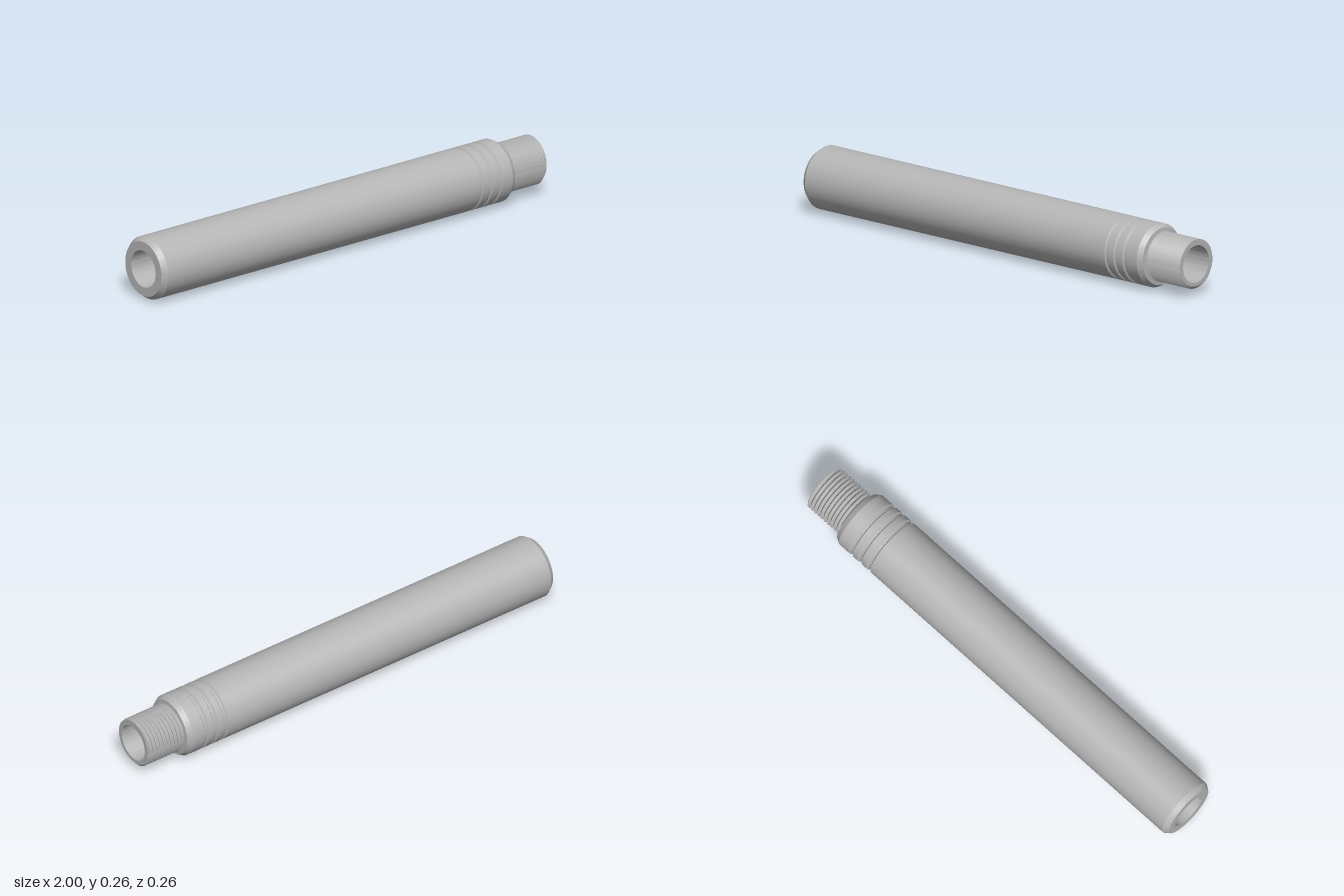
import * as THREE from 'three';
import { toCreasedNormals } from 'three/addons/utils/BufferGeometryUtils.js';

const SEGMENTS = 72;
const R = 0.13;          // body radius
const BORE = 0.077;      // through-hole radius
const SHOULDER = 0.82;   // where the body ends and the thread starts
const v = (r, x) => new THREE.Vector2(r, x);

// Lay a lathe along the x axis and keep its edges sharp
function finish(geometry, material, name) {
  const mesh = new THREE.Mesh(toCreasedNormals(geometry, 0.4), material);
  geometry.rotateZ(0);
  mesh.geometry.rotateZ(-Math.PI / 2);
  mesh.position.y = R;
  mesh.name = name;
  return mesh;
}

// Chamfered tube with three ring grooves near the threaded end
function bodyGeometry() {
  const profile = [v(BORE, -1), v(0.114, -1), v(R, -0.978)];
  for (const x of [0.636, 0.684, 0.732]) {
    profile.push(v(R, x - 0.011), v(R - 0.007, x - 0.006), v(R - 0.007, x + 0.006), v(R, x + 0.011));
  }
  profile.push(v(R, 0.798), v(0.117, SHOULDER), v(0.107, SHOULDER), v(0.094, SHOULDER + 0.004));
  return new THREE.LatheGeometry(profile, SEGMENTS);
}

// Helical V-thread: zigzag rows slide along the axis with the turning angle
function threadGeometry() {
  const pitch = 0.0176, root = 0.091, crest = 0.102;
  const rows = 2 * Math.ceil((1 - SHOULDER) / pitch) + 4;
  const profile = [];
  for (let i = 0; i <= rows; i++) profile.push(v(root, SHOULDER + (i / 2 - 1) * pitch));
  const geometry = new THREE.LatheGeometry(profile, SEGMENTS);
  const p = geometry.attributes.position;
  for (let k = 0; k < p.count; k++) {
    const turn = Math.floor(k / (rows + 1)) / SEGMENTS;
    const x = THREE.MathUtils.clamp(p.getY(k) + turn * pitch, SHOULDER, 1);
    const phase = (((x - SHOULDER) / pitch - turn) % 1 + 1) % 1;
    const r = root + (crest - root) * (1 - Math.abs(2 * phase - 1));
    const a = turn * Math.PI * 2;
    p.setXYZ(k, r * Math.sin(a), x, r * Math.cos(a));
  }
  return geometry;
}

// Flat ring that closes the threaded end, following the cut of the thread
function endFaceGeometry() {
  const geometry = new THREE.LatheGeometry([v(0.091, 1), v(BORE, 1)], SEGMENTS);
  const p = geometry.attributes.position;
  for (let k = 0; k < p.count; k += 2) {
    const turn = k / 2 / SEGMENTS;
    const phase = (((1 - SHOULDER) / 0.0176 - turn) % 1 + 1) % 1;
    const r = 0.091 + 0.011 * (1 - Math.abs(2 * phase - 1));
    p.setXYZ(k, r * Math.sin(turn * Math.PI * 2), 1, r * Math.cos(turn * Math.PI * 2));
  }
  return geometry;
}

export function createModel() {
  const metal = new THREE.MeshStandardMaterial({ color: 0xb5b5b5 });
  metal.name = 'grey metal';
  const group = new THREE.Group();
  group.name = 'threadedTube';
  group.add(
    finish(bodyGeometry(), metal, 'groovedBody'),
    finish(threadGeometry(), metal, 'thread'),
    finish(endFaceGeometry(), metal, 'threadEndFace'),
    finish(new THREE.LatheGeometry([v(BORE, 1), v(BORE, -1)], SEGMENTS), metal, 'bore')
  );
  return group;
}
